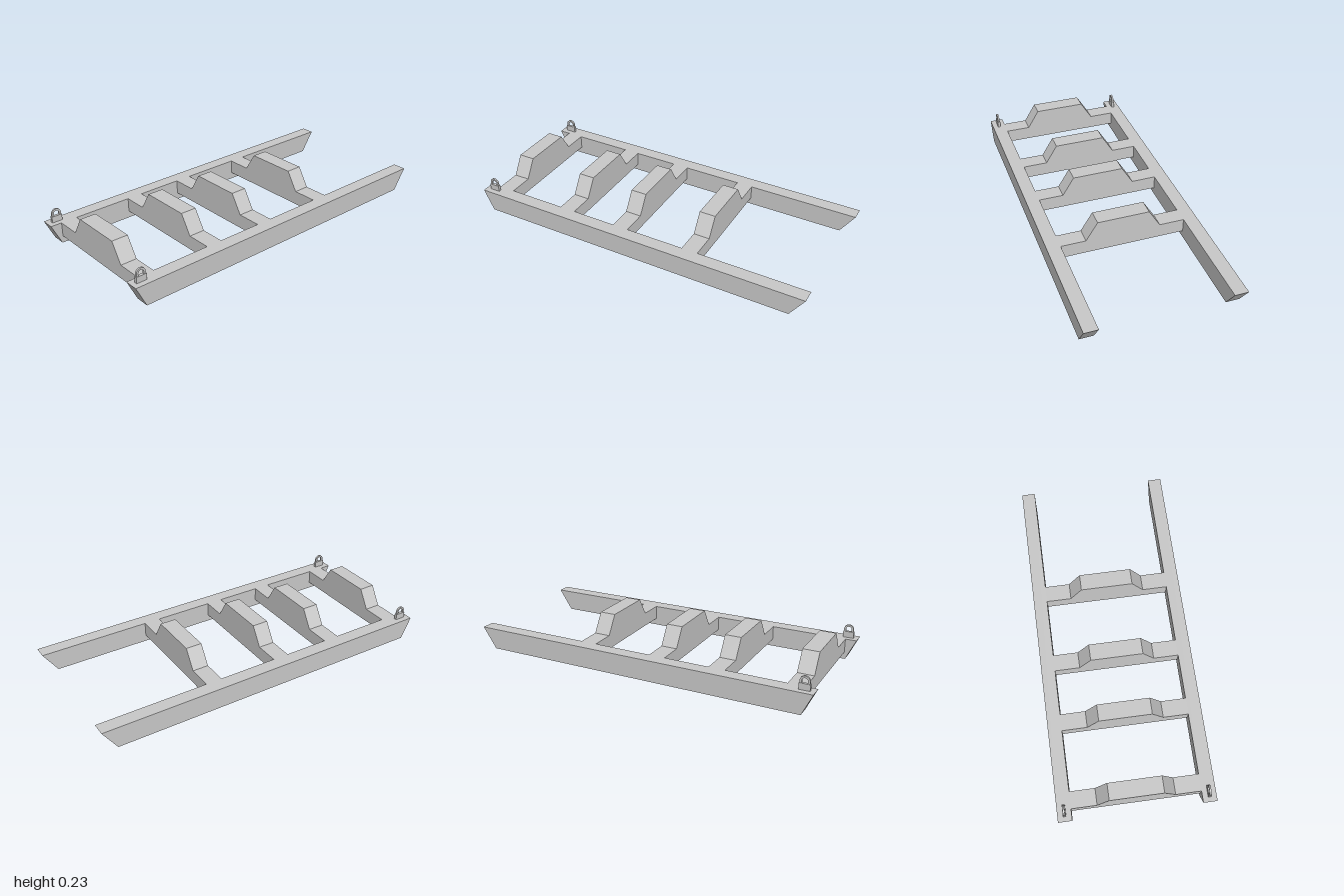
import * as THREE from 'three';

// Extrude a closed outline along z, centred on z = 0
function slab(points, depth, hole) {
  const shape = new THREE.Shape(points.map(([x, y]) => new THREE.Vector2(x, y)));
  if (hole) shape.holes.push(hole);
  const geometry = new THREE.ExtrudeGeometry(shape, { depth, bevelEnabled: false });
  return geometry.translate(0, 0, -depth / 2);
}

export function createModel() {
  const model = new THREE.Group();
  model.name = 'skidFrame';
  const steel = new THREE.MeshStandardMaterial({ color: 0xc8c8c8 });
  steel.name = 'grey steel';

  const add = (name, geometry, x, y, z, sideways = false) => {
    const mesh = new THREE.Mesh(geometry, steel);
    mesh.name = name;
    mesh.position.set(x, y, z);
    if (sideways) mesh.rotation.y = -Math.PI / 2; // outline x becomes z
    model.add(mesh);
  };

  // Long rails with raked ends
  const rail = slab([[-0.92, 0], [0.943, 0], [1, 0.12], [-1, 0.12]], 0.077);

  // Lifting eyes: a solid foot carrying a thinner arch
  const foot = new THREE.BoxGeometry(0.016, 0.035, 0.06);
  const archShape = new THREE.Shape();
  archShape.moveTo(0.027, 0);
  archShape.lineTo(0.027, 0.013);
  archShape.absarc(0, 0.013, 0.027, 0, Math.PI, false);
  archShape.lineTo(-0.027, 0);
  archShape.lineTo(-0.016, 0);
  archShape.lineTo(-0.016, 0.013);
  archShape.absarc(0, 0.013, 0.016, Math.PI, 0, true);
  archShape.lineTo(0.016, 0);
  const arch = new THREE.ExtrudeGeometry(archShape, { depth: 0.01, bevelEnabled: false, curveSegments: 16 });
  arch.translate(0, 0, -0.005);

  for (const [side, label] of [[1, 'left'], [-1, 'right']]) {
    add(label + 'Rail', rail, side * 0.3925, 0, 0, true);
    add(label + 'LiftingFoot', foot, side * 0.392, 0.1375, 0.943);
    add(label + 'LiftingEye', arch, side * 0.392, 0.155, 0.943, true);
  }

  // Cross beams with a raised trapezoid saddle
  const beam = slab([
    [-0.355, 0.04], [0.355, 0.04], [0.355, 0.12], [0.213, 0.12],
    [0.147, 0.227], [-0.147, 0.227], [-0.213, 0.12], [-0.355, 0.12],
  ], 0.093);
  [0.89, 0.46, 0.11, -0.32].forEach((z, i) => add('crossBeam' + (i + 1), beam, 0, 0, z));

  return model;
}
